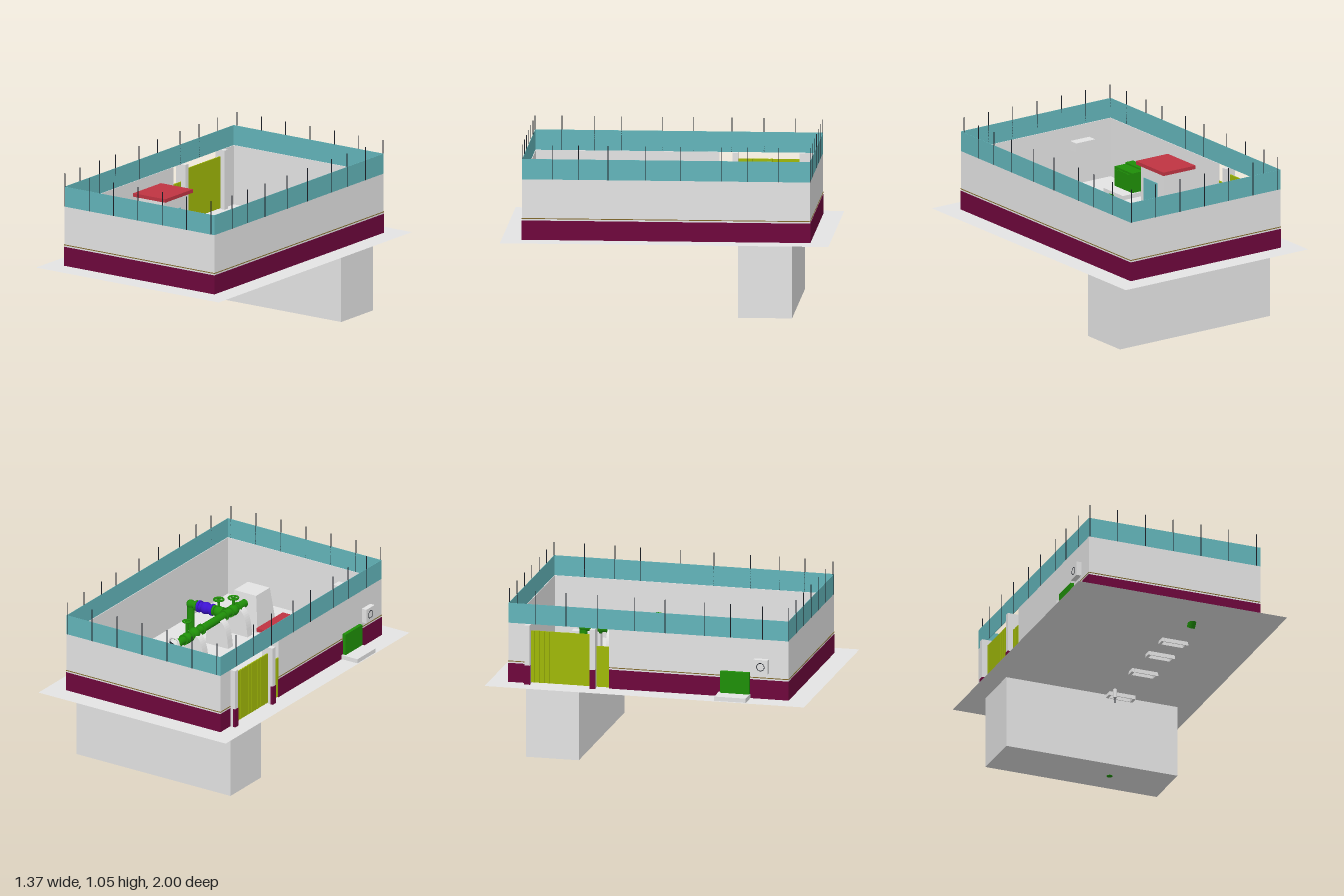
import * as THREE from 'three';

const paint = (name, color, side = THREE.FrontSide) => {
  const m = new THREE.MeshStandardMaterial({ color, side });
  m.name = name;
  return m;
};

export function createModel() {
  const root = new THREE.Group();
  root.name = 'pumpStationYard';
  const concrete = paint('concrete grey', 0xe4e4e4, THREE.DoubleSide);
  const maroon = paint('maroon', 0x6e063c);
  const teal = paint('fence teal', 0x63b5ba, THREE.DoubleSide);
  const green = paint('pipe green', 0x1f8f08);
  const olive = paint('gate olive', 0xa0b808);
  const red = paint('roof red', 0xc03442);
  const blue = paint('meter blue', 0x3e12d0);
  const dark = paint('dark steel', 0x1c2028);
  const brown = paint('stripe brown', 0x80682a);

  const G = 0.465; // floor level
  const add = (name, geo, mat, parent = root) => {
    const m = new THREE.Mesh(geo, mat);
    m.name = name;
    parent.add(m);
    return m;
  };
  // box given by its limits
  const box = (name, mat, x0, x1, y0, y1, z0, z1) => {
    const m = add(name, new THREE.BoxGeometry(x1 - x0, y1 - y0, z1 - z0), mat);
    m.position.set((x0 + x1) / 2, (y0 + y1) / 2, (z0 + z1) / 2);
    return m;
  };
  // cylinder between two points
  const rod = (name, mat, a, b, r, sides = 16) => {
    const p = new THREE.Vector3(...a), q = new THREE.Vector3(...b);
    const m = add(name, new THREE.CylinderGeometry(r, r, p.distanceTo(q), sides), mat);
    m.position.copy(p).lerp(q, 0.5);
    m.quaternion.setFromUnitVectors(new THREE.Vector3(0, 1, 0), q.sub(p).normalize());
    return m;
  };
  const ball = (name, mat, x, y, z, r) =>
    add(name, new THREE.SphereGeometry(r, 16, 12), mat).position.set(x, y, z);

  // Ground sheet and basement
  const ground = add('ground', new THREE.PlaneGeometry(1.37, 2), concrete);
  ground.rotation.x = -Math.PI / 2;
  ground.position.y = G;
  box('basement', concrete, -0.565, 0.56, 0.003, G - 0.002, -0.77, -0.44);

  // Perimeter walls: plain inside, painted skin and stripe on the outer side (nx, nz)
  const X0 = -0.565, X1 = 0.56, Z0 = -0.88, Z1 = 0.873, T = 0.006, E = 0.002, B = G + 0.003;
  const wall = (x0, x1, z0, z1, nx, nz) => {
    box('wall', concrete, x0, x1, B, 0.84, z0, z1);
    const ex = nz ? E : 0, ez = nx ? E : 0;
    const skin = (name, mat, y0, y1) => box(name, mat, x0 + nx * E - ex, x1 + nx * E + ex, y0, y1,
      z0 + nz * E - ez, z1 + nz * E + ez);
    skin('wallBase', maroon, B, 0.587);
    skin('wallStripe', brown, 0.597, 0.602);
  };
  wall(X0, X1, Z1 - T, Z1, 0, 1);
  wall(X0, X1, Z0, Z0 + T, 0, -1);
  wall(X1 - T, X1, Z0 + T, Z1 - T, 1, 0);
  wall(X0, X0 + T, Z0 + T, -0.76, -1, 0);
  wall(X0, X0 + T, -0.25, Z1 - T, -1, 0);

  // Fence panels above the walls
  for (const z of [Z0, Z1 - E]) box('fencePanel', teal, X0, X1, 0.84, 0.965, z, z + E);
  for (const x of [X0, X1 - E]) box('fencePanel', teal, x, x + E, 0.84, 0.965, Z0 + E, Z1 - E);

  // Fence posts
  const post = (x, z) => box('fencePost', dark, x - 0.002, x + 0.002, 0.84, 1.05, z - 0.002, z + 0.002);
  for (let i = 0; i < 7; i++) {
    post(-0.56 + i * 0.1825, Z1);
    post(-0.54 + i * 0.1825, Z0);
  }
  for (const z of [0.69, 0.53, 0.35, 0.12, -0.09, -0.34, -0.5, -0.69]) post(X1, z);
  for (const z of [0.71, 0.51, 0.345, 0.1, -0.09, -0.325, -0.52, -0.71]) post(X0, z);

  // Gate pillars, ribbed gate and side door
  for (const z of [-0.755, -0.347]) {
    box('gatePillar', concrete, -0.6, -0.53, B, 0.84, z - 0.016, z + 0.016);
    box('pillarBase', maroon, -0.602, -0.585, B, 0.587, z - 0.018, z + 0.018);
  }
  const leaf = (name, z0, z1, top) => {
    box(name, olive, -0.566, -0.56, 0.475, top, z0, z1);
    const n = Math.round((z1 - z0) / 0.03);
    for (let i = 0; i < n; i++) {
      const z = z0 + ((i + 0.5) / n) * (z1 - z0);
      box(name + 'Rib', olive, -0.568, -0.558, 0.475, top, z - 0.007, z + 0.007);
    }
  };
  leaf('gate', -0.738, -0.364, 0.8);
  leaf('sideDoor', -0.33, -0.25, 0.73);

  // Guard booth
  box('boothBody', concrete, -0.495, -0.305, B, 0.765, -0.04, 0.2);
  box('boothRoof', red, -0.52, -0.28, 0.765, 0.787, -0.065, 0.222);
  box('boothDoor', teal, -0.305, -0.3, B, 0.69, 0.03, 0.17);

  // Transformer on its pad
  box('transformerPad', concrete, -0.682, -0.34, G + 0.003, 0.495, 0.437, 0.635);
  box('transformerCabinet', green, -0.588, -0.5, 0.495, 0.63, 0.45, 0.632);
  box('transformerTank', green, -0.5, -0.42, 0.495, 0.62, 0.45, 0.632);
  for (let i = 0; i < 7; i++) {
    const z = 0.475 + i * 0.021;
    box('coolingFin', green, -0.42, -0.402, 0.51, 0.61, z, z + 0.008);
  }

  // Air conditioner outside and unit on the front wall
  box('airConditioner', concrete, -0.598, X0, 0.63, 0.72, 0.66, 0.75);
  const fan = add('fanRing', new THREE.TorusGeometry(0.024, 0.002, 6, 20), dark);
  fan.rotation.y = Math.PI / 2;
  fan.position.set(-0.598, 0.675, 0.705);
  box('indoorUnit', concrete, -0.4, -0.257, 0.69, 0.75, 0.805, Z1 - T);

  // Main pipe with end elbows
  const PX = 0.18, PY = 0.635, R = 0.025;
  rod('mainPipe', green, [PX, PY, -0.6], [PX, PY, 0.69], R);
  ball('frontElbow', green, PX, PY, 0.69, R);
  rod('frontDrop', green, [PX, PY, 0.69], [PX, 0.475, 0.69], R);
  rod('frontOutlet', green, [PX, 0.48, 0.718], [PX, 0.44, 0.69], R);
  ball('rearElbow', green, PX, PY, -0.6, R + 0.004);
  rod('rearDrop', green, [PX, PY, -0.6], [PX, B, -0.6], R);
  rod('basementOutlet', green, [PX, 0.02, -0.6], [PX, 0, -0.6], 0.018);
  for (const z of [-0.49, -0.37, -0.25, -0.17, -0.11, 0.02, 0.27, 0.33, 0.41, 0.68])
    rod('flange', green, [PX, PY, z - 0.006], [PX, PY, z + 0.006], 0.034);
  ball('valveBody', green, PX, PY, -0.055, 0.038);

  // Branch with meter and elbow
  rod('branchPipe', green, [PX, PY, 0.3], [0.445, PY, 0.3], 0.022);
  ball('branchElbow', green, 0.445, PY, 0.3, 0.027);
  rod('branchDrop', green, [0.445, PY, 0.3], [0.445, B, 0.3], 0.022);
  rod('meterBody', blue, [0.285, PY, 0.3], [0.38, PY, 0.3], 0.029);
  ball('meterBowl', blue, 0.333, PY, 0.3, 0.038);
  for (const x of [0.285, 0.38]) rod('meterFlange', blue, [x - 0.007, PY, 0.3], [x + 0.007, PY, 0.3], 0.037);
  for (const x of [0.21, 0.27, 0.4]) rod('branchFlange', green, [x - 0.006, PY, 0.3], [x + 0.006, PY, 0.3], 0.033);

  // Valves with handwheels
  const valve = (x, z, top, r) => {
    ball('valveBody', green, x, PY, z, 0.035);
    rod('valveStem', green, [x, PY, z], [x, top, z], 0.009, 10);
    const w = add('handwheel', new THREE.TorusGeometry(r, 0.006, 8, 20), green);
    w.rotation.x = Math.PI / 2;
    w.position.set(x, top, z);
    rod('spoke', green, [x - r, top, z], [x + r, top, z], 0.004, 6);
    rod('spoke', green, [x, top, z - r], [x, top, z + r], 0.004, 6);
  };
  valve(PX, 0.37, 0.715, 0.03);
  valve(0.24, 0.3, 0.715, 0.03);
  valve(PX, -0.135, 0.745, 0.024);

  // Sampling line with drain through the floor
  rod('samplerCollar', concrete, [PX, PY, -0.33], [PX, PY, -0.26], 0.036);
  const hoop = add('samplerHoop', new THREE.TorusGeometry(0.035, 0.006, 8, 16, Math.PI), concrete);
  hoop.position.set(0.15, 0.675, -0.32);
  rod('samplerPost', dark, [0.115, 0.46, -0.355], [0.115, 0.68, -0.355], 0.005, 8);
  rod('samplerArm', dark, [0.115, 0.675, -0.355], [PX, 0.675, -0.32], 0.005, 8);
  rod('drainSleeve', concrete, [0.115, 0.41, -0.355], [0.115, G, -0.355], 0.012);
  rod('drainRod', dark, [0.115, 0.375, -0.355], [0.115, 0.42, -0.355], 0.004, 8);

  // Arched saddle supports with a rounded seat and a slot below
  const s = new THREE.Shape();
  s.moveTo(-0.088, 0.44).lineTo(-0.07, 0.44).lineTo(-0.065, 0.5).lineTo(0.065, 0.5);
  s.lineTo(0.07, 0.44).lineTo(0.088, 0.44).lineTo(0.08, 0.5);
  s.quadraticCurveTo(0.07, 0.61, R, PY);
  s.absarc(0, PY, R, 0, -Math.PI, true);
  s.quadraticCurveTo(-0.07, 0.61, -0.08, 0.5);
  const saddle = new THREE.ExtrudeGeometry(s, { depth: 0.052, bevelEnabled: false, curveSegments: 10 });
  for (const z of [-0.415, -0.055, 0.21, 0.42]) {
    add('pipeSupport', saddle, concrete).position.set(PX - 0.003, 0, z - 0.026);
    for (const e of [-0.026, 0.02])
      box('supportFoot', concrete, PX - 0.07, PX + 0.07, 0.44, 0.5, z + e, z + e + 0.006);
  }

  // Tapered pedestal near the front
  const ped = add('pedestal', new THREE.CylinderGeometry(0.08 * Math.SQRT2, 0.107 * Math.SQRT2, 0.232, 4).toNonIndexed(), concrete);
  ped.geometry.rotateY(Math.PI / 4);
  ped.geometry.scale(1, 1, 0.93);
  ped.geometry.computeVertexNormals();
  ped.position.set(PX, B + 0.116, 0.573);

  // Rear pump block between two concrete cheeks with inner brackets
  box('pumpBlock', green, 0.09, 0.262, G + 0.003, 0.56, -0.675, -0.54);
  for (const side of [-1, 1]) {
    const x = 0.173 + side * 0.118, y = 0.173 + side * 0.09;
    box('pumpCheek', concrete, x - 0.025, x + 0.025, B, 0.58, -0.697, -0.515);
    box('pumpBracket', concrete, y - 0.012, y + 0.012, B, 0.55, -0.67, -0.55);
  }
  return root;
}
